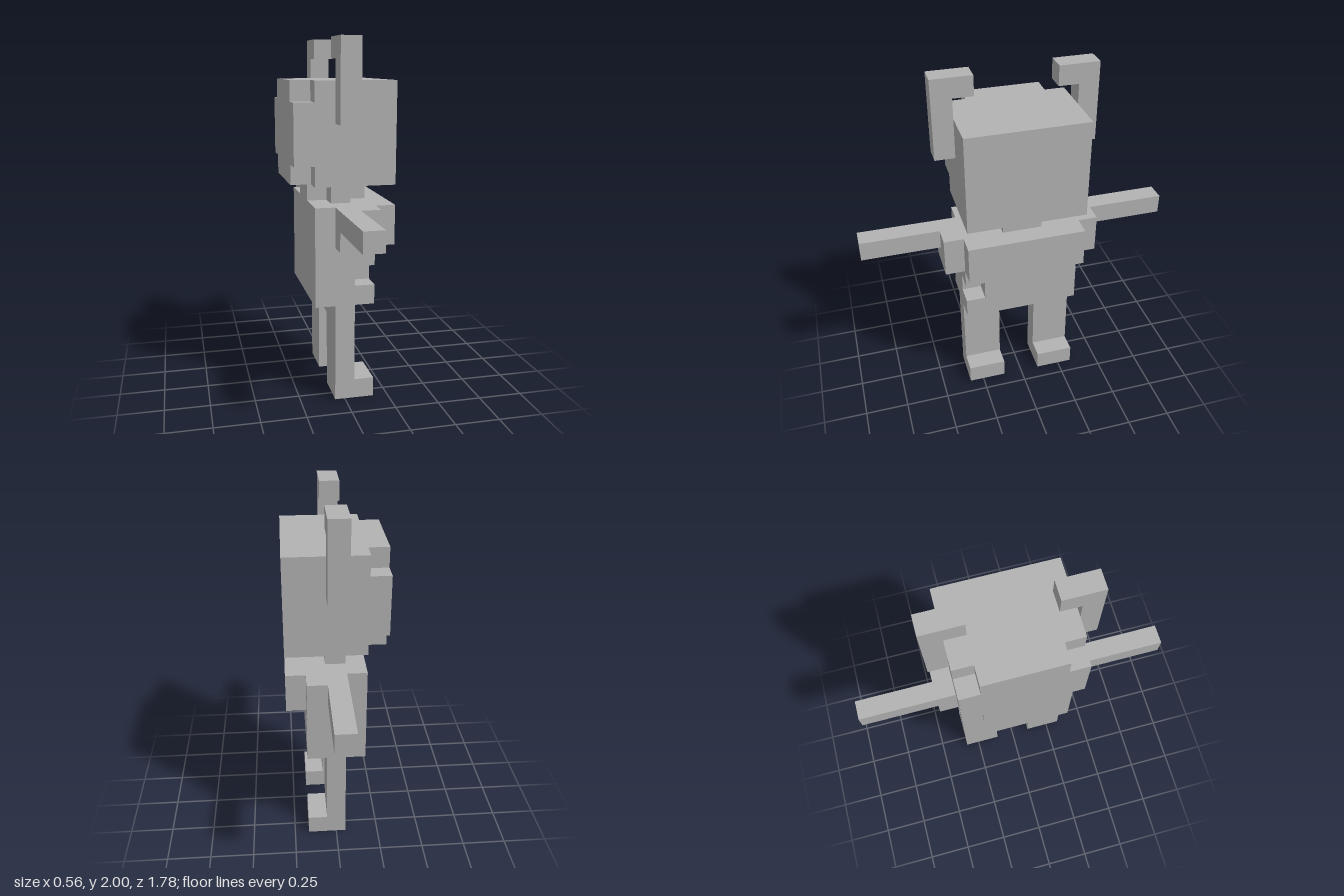
import * as THREE from 'three';

const U = 1 / 9; // size of one building block
const grey = new THREE.MeshStandardMaterial({ color: 0xb3b3b3 });
grey.name = 'grey';

// Box given by its limits on each axis, in blocks
function block(parent, name, [x0, x1], [y0, y1], [z0, z1]) {
  const geometry = new THREE.BoxGeometry((x1 - x0) * U, (y1 - y0) * U, (z1 - z0) * U);
  const mesh = new THREE.Mesh(geometry, grey);
  mesh.position.set((x0 + x1) / 2 * U, (y0 + y1) / 2 * U, (z0 + z1) / 2 * U);
  mesh.name = name;
  parent.add(mesh);
}

// Same box on both z sides
function pair(parent, name, x, y, [z0, z1]) {
  block(parent, name + 'A', x, y, [z0, z1]);
  block(parent, name + 'B', x, y, [-z1, -z0]);
}

function part(parent, name) {
  const group = new THREE.Group();
  group.name = name;
  parent.add(group);
  return group;
}

export function createModel() {
  const model = new THREE.Group();
  model.name = 'hornedBlockFigure';

  // Legs with feet towards +x, joined by a hip bar
  const legs = part(model, 'legs');
  pair(legs, 'leg', [-0.5, 0.5], [0, 4], [1, 3]);
  pair(legs, 'foot', [0.5, 1.5], [0, 1], [1, 3]);
  block(legs, 'hips', [-0.5, 0.5], [4, 5], [-3, 3]);

  // Torso, with one block missing from a belly corner
  const torso = part(model, 'torso');
  block(torso, 'waist', [-1.5, 1.5], [5, 6], [-3, 3]);
  block(torso, 'bellyBack', [-1.5, 0.5], [6, 7], [-3, 3]);
  block(torso, 'bellyFront', [0.5, 1.5], [6, 7], [-3, 2]);
  block(torso, 'ribs', [-1.5, 1.5], [7, 10], [-3, 3]);
  block(torso, 'chest', [1.5, 2.5], [8, 10], [-3, 3]);

  // Arms held straight out
  const arms = part(model, 'arms');
  pair(arms, 'shoulder', [-0.5, 1.5], [8, 10], [3, 4]);
  pair(arms, 'arm', [-0.5, 0.5], [9, 10], [4, 8]);

  // Cross-shaped neck
  const neck = part(model, 'neck');
  block(neck, 'neckCore', [-1.5, 1.5], [10, 11], [-1, 1]);
  pair(neck, 'neckSide', [-0.5, 0.5], [10, 11], [1, 2]);

  // Head, its rear layer missing the four corners
  const head = part(model, 'head');
  block(head, 'skull', [-1.5, 2.5], [11, 16], [-3, 3]);
  block(head, 'skullRear', [-2.5, -1.5], [11, 16], [-2, 2]);
  pair(head, 'skullRearSide', [-2.5, -1.5], [12, 15], [2, 3]);

  // Horns hooked inwards
  const horns = part(model, 'horns');
  pair(horns, 'horn', [-0.5, 0.5], [14, 18], [3, 4]);
  pair(horns, 'hornTip', [-0.5, 0.5], [17, 18], [2, 3]);

  return model;
}
